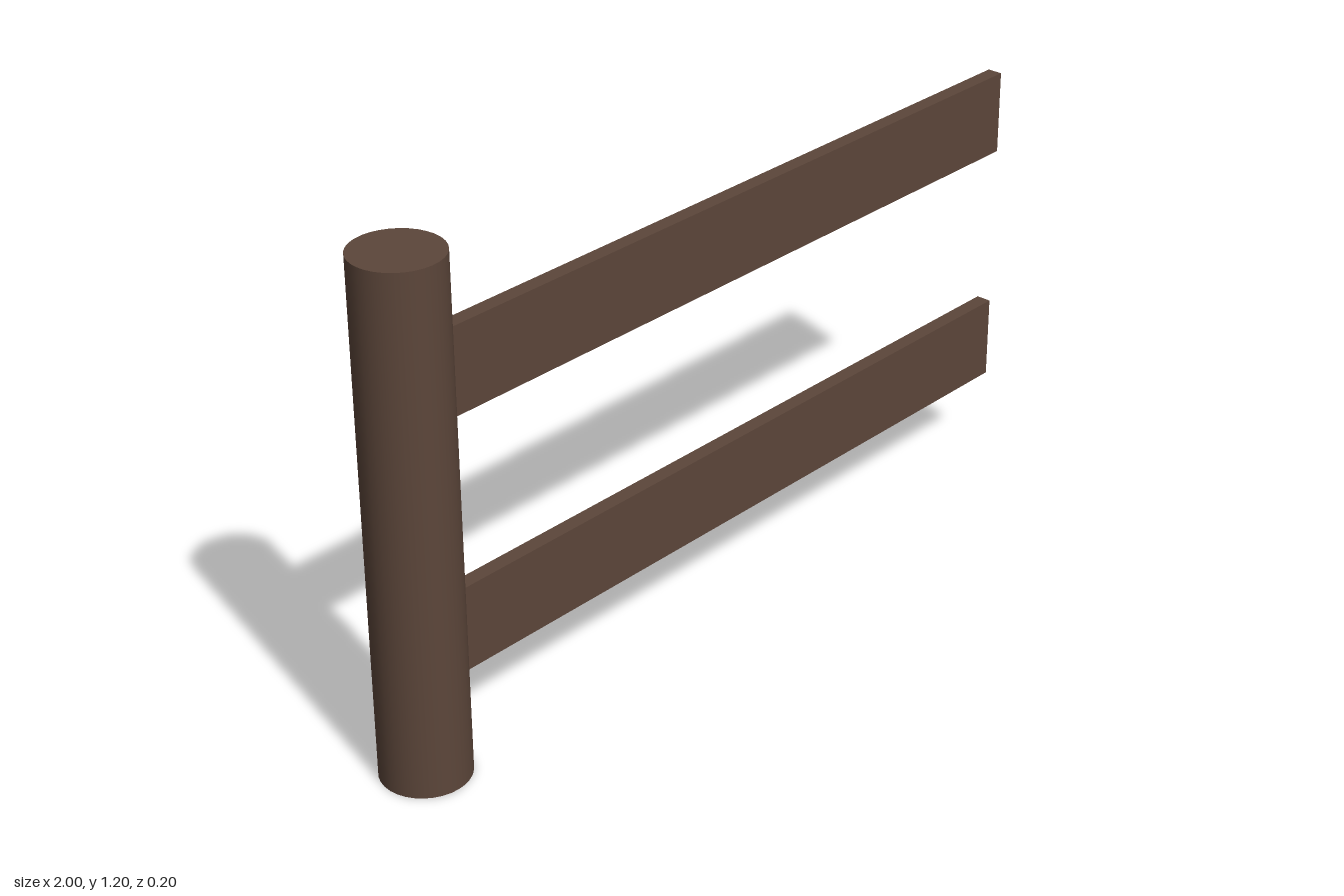
import * as THREE from 'three';

export function createModel() {
  const group = new THREE.Group();
  group.name = 'fenceSection';
  const wood = new THREE.MeshStandardMaterial({ color: 0x5c463a });
  wood.name = 'dark brown wood';

  const add = (name, geometry, x, y) => {
    const mesh = new THREE.Mesh(geometry, wood);
    mesh.name = name;
    mesh.position.set(x, y, 0);
    group.add(mesh);
  };

  // Round upright post
  add('post', new THREE.CylinderGeometry(0.1, 0.1, 1.2, 32), -0.9, 0.6);

  // Two flat rails, let into the centre of the post
  const railGeometry = new THREE.BoxGeometry(1.9, 0.2, 0.036);
  add('lowerRail', railGeometry, 0.05, 0.3);
  add('upperRail', railGeometry, 0.05, 0.9);

  return group;
}
